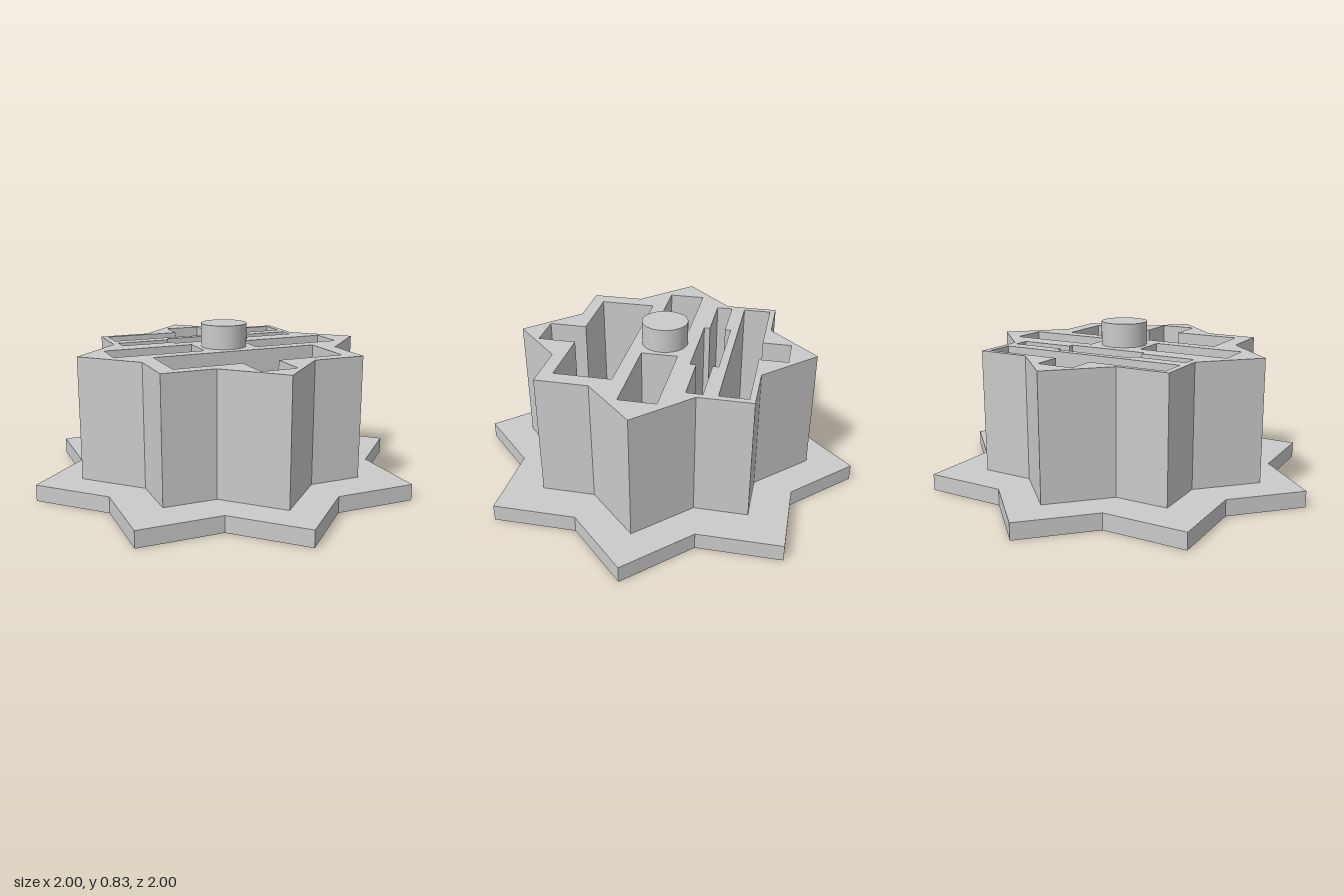
import * as THREE from 'three';

const grey = new THREE.MeshStandardMaterial({ color: 0xcacaca });
grey.name = 'grey';

// Points are [x, z] on the ground plane; the shape's y axis is -z
const toVectors = (pts) => pts.map(([x, z]) => new THREE.Vector2(x, -z));

// Eight-pointed star: a square overlaid with a diamond
function starPoints(tip, half) {
  const pts = [];
  const inner = tip - half;
  for (let i = 0; i < 4; i++) {
    const c = Math.round(Math.cos(i * Math.PI / 2));
    const s = Math.round(Math.sin(i * Math.PI / 2));
    for (const [x, z] of [[tip, 0], [half, inner], [half, half], [inner, half]]) {
      pts.push([x * c - z * s, x * s + z * c]);
    }
  }
  return pts;
}

// Completes an outline symmetric about x = 0 from its right half
const mirrored = (half) => [...half, ...half.map(([x, z]) => [-x, z]).reverse()];

const rect = (x0, x1, z0, z1) => [[x0, z0], [x1, z0], [x1, z1], [x0, z1]];

// Slots running vertically through the whole piece
const slots = [
  mirrored([[0.093, -0.633], [0.093, -0.488], [0.485, -0.488], [0.485, -0.348]]),
  mirrored([[0.21, -0.308], [0.21, -0.278], [0.485, -0.278], [0.485, -0.198], [0.21, -0.198], [0.21, -0.168]]),
  rect(-0.61, -0.143, -0.093, 0.09),
  rect(0.143, 0.61, -0.093, 0.09),
  mirrored([[0.435, 0.162], [0.435, 0.45], [0.093, 0.45], [0.093, 0.644]]),
];

function slottedStar(name, tip, half, y0, y1) {
  const shape = new THREE.Shape(toVectors(starPoints(tip, half)));
  // Holes wind opposite to the outline so their walls face into the slots
  for (const slot of slots) shape.holes.push(new THREE.Path(toVectors(slot).reverse()));
  const geometry = new THREE.ExtrudeGeometry(shape, { depth: y1 - y0, bevelEnabled: false });
  geometry.rotateX(-Math.PI / 2);
  geometry.translate(0, y0, 0);
  const mesh = new THREE.Mesh(geometry, grey);
  mesh.name = name;
  return mesh;
}

export function createModel() {
  const group = new THREE.Group();
  group.name = 'slottedStarBlock';

  // Wide flange and tall body
  group.add(slottedStar('baseFlange', 1, 0.708, 0, 0.083));
  group.add(slottedStar('starBody', 0.768, 0.517, 0.083, 0.706));

  // Round post on the centre bridge
  const post = new THREE.Mesh(new THREE.CylinderGeometry(0.117, 0.117, 0.12, 48), grey);
  post.name = 'centrePost';
  post.position.y = 0.766;
  group.add(post);

  return group;
}
